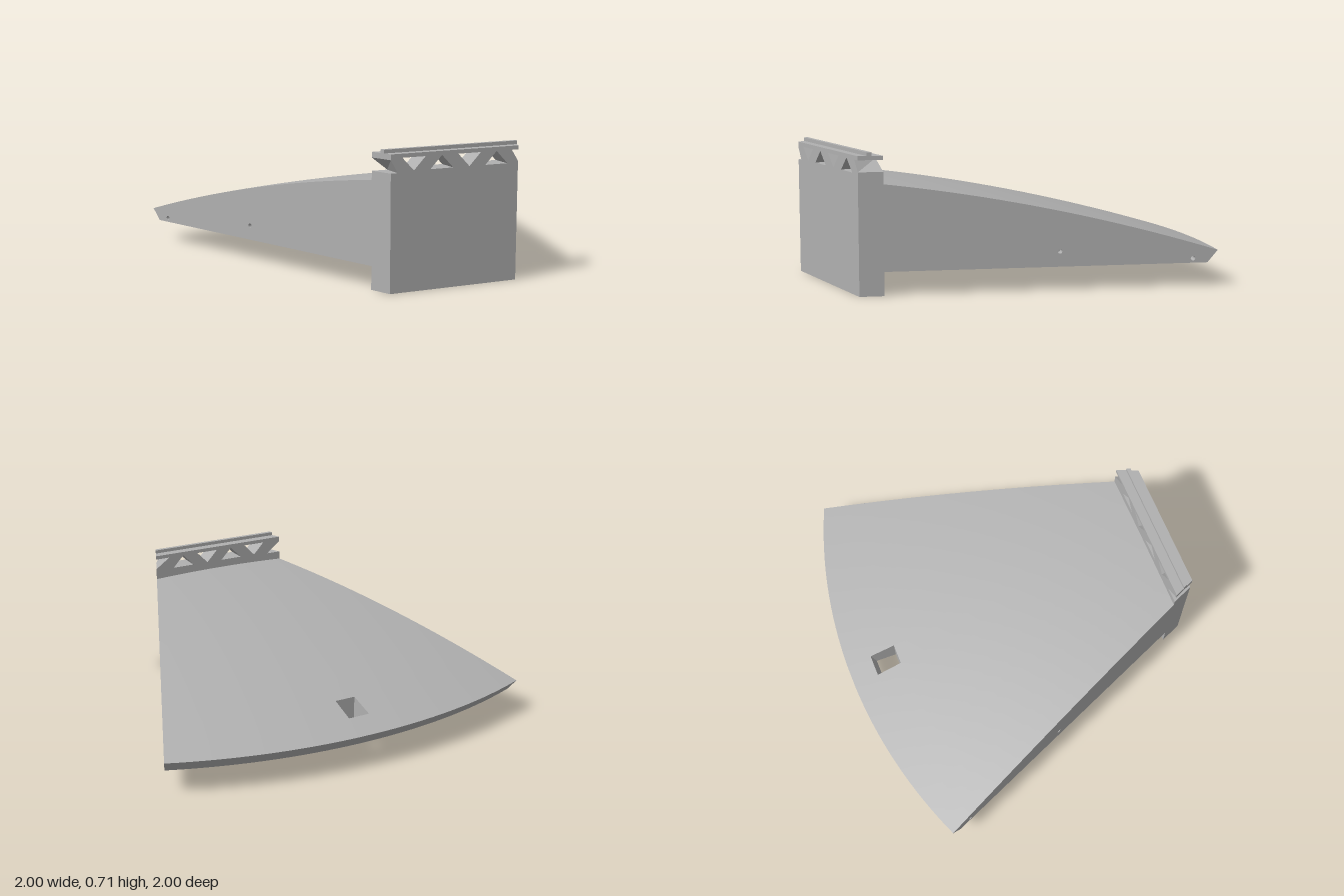
import * as THREE from 'three';

// Polar layout: every side cut runs through one apex, d / r measured outward along -z
const HALF = THREE.MathUtils.degToRad(22.43);
const D_FRONT = 0.8595, D_BACK = 0.9724;      // straight front wall
const R_TOP = 2.727, R_BOTTOM = 2.675;        // curved outer rim
const BASE = 0.12, WALL_TOP = 0.595;
const HATCH = { a: 0.0227, r1: 2.446, r2: 2.587, r2Bottom: 2.56 };

const roofY = (r) => {
  const u = r - 1.052;
  return 0.55 - 0.124 * u - 0.0571 * u * u;
};
const polar = (a, r, y) => [Math.sin(a) * r, y, -Math.cos(a) * r];

// Grid surface from a rule; skip(i, j) leaves a cell open
function surface(nu, nv, point, { skip, flat } = {}) {
  const pos = [], idx = [];
  for (let j = 0; j <= nv; j++) for (let i = 0; i <= nu; i++) pos.push(...point(i, j));
  for (let j = 0; j < nv; j++) for (let i = 0; i < nu; i++) {
    if (skip && skip(i, j)) continue;
    const a = j * (nu + 1) + i, b = a + 1, d = a + nu + 1, c = d + 1;
    idx.push(a, b, c, a, c, d);
  }
  let g = new THREE.BufferGeometry();
  g.setAttribute('position', new THREE.Float32BufferAttribute(pos, 3));
  g.setIndex(idx);
  if (flat) g = g.toNonIndexed();
  g.computeVertexNormals();
  return g;
}

const shapeOf = (pts) => new THREE.Shape(pts.map(([x, y]) => new THREE.Vector2(x, y)));
const pathOf = (pts) => new THREE.Path(pts.map(([x, y]) => new THREE.Vector2(x, y)));

// Extrude a front outline between two depths; points at the ends follow the radial cuts
function taperedPrism(pts, dBack, dFront, holes = []) {
  const shape = shapeOf(pts);
  holes.forEach((h) => shape.holes.push(pathOf(h)));
  const g = new THREE.ExtrudeGeometry(shape, { depth: dBack - dFront, bevelEnabled: false });
  g.translate(0, 0, -dBack);
  const p = g.attributes.position;
  for (let i = 0; i < p.count; i++) {
    const x = p.getX(i);
    if (Math.abs(x) > 0.36) p.setX(i, -Math.sign(x) * p.getZ(i) * Math.tan(HALF));
  }
  g.computeVertexNormals();
  return g;
}
const slab = (y0, y1, dBack, dFront) =>
  taperedPrism([[-0.4, y0], [0.4, y0], [0.4, y1], [-0.4, y1]], dBack, dFront);

export function createModel() {
  const concrete = new THREE.MeshStandardMaterial({ color: 0xb0b0b0, side: THREE.DoubleSide });
  concrete.name = 'light grey';
  const model = new THREE.Group();
  model.name = 'roofSegment';
  const body = new THREE.Group();
  body.name = 'wedge';
  body.position.set(0.696, 0, 1.726);
  body.rotation.y = THREE.MathUtils.degToRad(16.02);
  model.add(body);
  const add = (name, geometry) => {
    const m = new THREE.Mesh(geometry, concrete);
    m.name = name;
    body.add(m);
    return m;
  };

  // Grid lines of the roof, with the hatch edges among them
  const angles = [], rows = [];
  const N = 16;
  for (let i = 0; i <= N; i++) angles.push(-HALF + (HALF - HATCH.a) * (i / N));
  for (let i = 0; i <= N; i++) angles.push(HATCH.a + (HALF - HATCH.a) * (i / N));
  const toT = (r) => (r - D_BACK) / (R_TOP - D_BACK);
  for (let j = 0; j <= 20; j++) rows.push(toT(HATCH.r1) * (j / 20));
  rows.push(toT(HATCH.r2), 1);

  // Domed roof with the open hatch cell
  add('roof', surface(angles.length - 1, rows.length - 1, (i, j) => {
    const r = THREE.MathUtils.lerp(D_BACK / Math.cos(angles[i]), R_TOP, rows[j]);
    return polar(angles[i], r, roofY(r));
  }, { skip: (i, j) => i === N && j === 20 }));

  // Undercut outer rim
  add('outerRim', surface(angles.length - 1, 1, (i, j) =>
    (j ? polar(angles[i], R_BOTTOM, BASE) : polar(angles[i], R_TOP, roofY(R_TOP)))));

  // Hatch shaft, far wall sloping inward
  const corners = [[-1, 0], [1, 0], [1, 1], [-1, 1], [-1, 0]];
  add('hatchShaft', surface(4, 1, (i, j) => {
    const [s, far] = corners[i];
    const rTop = far ? HATCH.r2 : HATCH.r1;
    return j ? polar(s * HATCH.a, far ? HATCH.r2Bottom : HATCH.r1, BASE)
      : polar(s * HATCH.a, rTop, roofY(rTop));
  }, { flat: true }));

  // Underside with hatch opening and radial slots
  const flatPoint = (a, r, off = 0) => [
    Math.sin(a) * r + Math.cos(a) * off, -Math.cos(a) * r + Math.sin(a) * off];
  const underside = shapeOf([
    flatPoint(-HALF, D_BACK / Math.cos(HALF)),
    ...angles.map((a) => flatPoint(a, R_BOTTOM)),
    flatPoint(HALF, D_BACK / Math.cos(HALF)),
  ]);
  underside.holes.push(pathOf(corners.slice(0, 4).map(([s, far]) =>
    flatPoint(s * HATCH.a, far ? HATCH.r2Bottom : HATCH.r1))));
  const W = 0.006, SLOT_START = 1.2;
  for (let k = -3; k <= 3; k++) {
    const a = THREE.MathUtils.degToRad(6.6 * k);
    const end = k === 0 ? 2.36 : 2.5;
    underside.holes.push(pathOf([
      flatPoint(a, SLOT_START, -W), flatPoint(a, SLOT_START, W),
      flatPoint(a, end, W), flatPoint(a, end, -W)]));
    add('slot', surface(3, 8, (i, j) => {
      const r = THREE.MathUtils.lerp(SLOT_START, end, j / 8);
      const [x, z] = flatPoint(a, r, i < 2 ? W : -W);
      return [x, i === 0 || i === 3 ? BASE : roofY(r) - 0.02, z];
    }, { flat: true }));
  }
  add('underside', new THREE.ShapeGeometry(underside).rotateX(Math.PI / 2).translate(0, BASE, 0));

  // Side walls with small round duct holes
  const rWall = D_BACK / Math.cos(HALF);
  const ducts = [[1.92, 0.197], [2.6, 0.143]];
  for (const s of [-1, 1]) {
    const pts = [[rWall, BASE], [R_BOTTOM, BASE]];
    for (let j = 20; j >= 0; j--) {
      const r = THREE.MathUtils.lerp(rWall, R_TOP, j / 20);
      pts.push([r, roofY(r)]);
    }
    const side = shapeOf(pts);
    const turn = Math.PI / 2 - s * HALF;
    for (const [r, y] of ducts) {
      side.holes.push(new THREE.Path().absarc(r, y, 0.012, 0, Math.PI * 2, true));
      const duct = add('ductHole', new THREE.CylinderGeometry(0.012, 0.012, 0.05, 16, 1, true)
        .rotateX(Math.PI / 2).translate(r, y, -s * 0.025));
      duct.rotation.y = turn;
    }
    add(s > 0 ? 'leftSideWall' : 'rightSideWall', new THREE.ShapeGeometry(side, 8)).rotation.y = turn;
  }

  // Front wall
  add('frontWall', slab(0, WALL_TOP, D_BACK, D_FRONT));

  // Truss band of alternating triangles, open at both ends
  const holes = [-0.23, -0.077, 0.077, 0.23].map((x, i) => {
    const [flatY, tipY] = i % 2 ? [0.602, 0.668] : [0.668, 0.602];
    return [[x - 0.063, flatY], [x + 0.063, flatY], [x, tipY]];
  });
  add('truss', taperedPrism([
    [-0.318, WALL_TOP], [0.4, WALL_TOP], [0.4, 0.61], [0.318, 0.668], [0.4, 0.668],
    [0.4, 0.688], [-0.4, 0.688], [-0.4, 0.66]], D_BACK, D_FRONT, holes));

  // Narrow ridge on top
  add('topRidge', slab(0.688, 0.706, 0.922, 0.9));

  return model;
}
